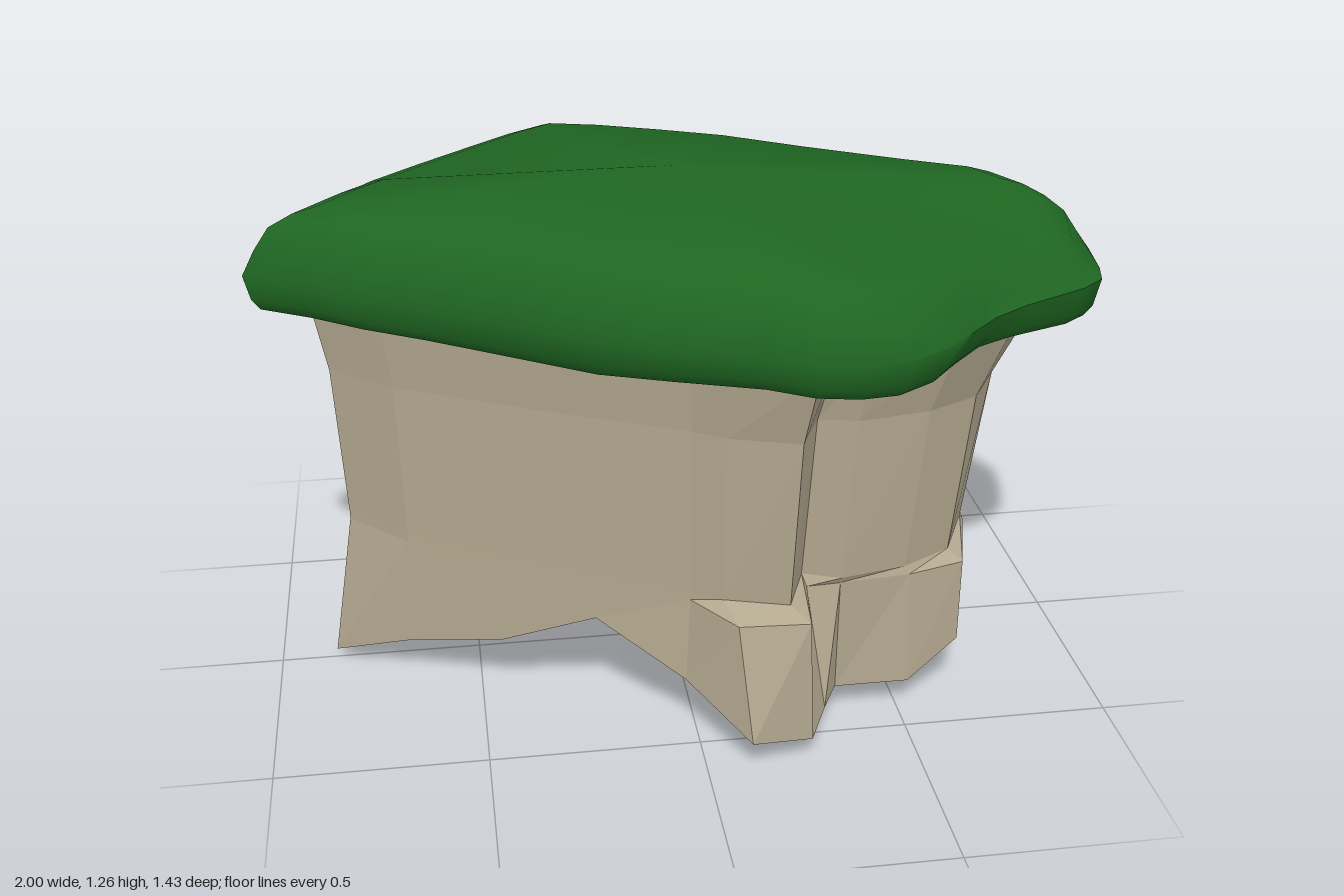
import * as THREE from 'three';
import { toCreasedNormals } from 'three/addons/utils/BufferGeometryUtils.js';

// Surface through closed rings listed bottom to top; optional centre points close the ends
function loft(rings, bottom, top) {
  const n = rings[0].length;
  const pts = rings.flat();
  const index = [];
  for (let r = 0; r < rings.length - 1; r++) {
    for (let i = 0; i < n; i++) {
      const a = r * n + i, b = r * n + (i + 1) % n;
      index.push(a, b, b + n, a, b + n, a + n);
    }
  }
  if (bottom) {
    const c = pts.push(bottom) - 1;
    for (let i = 0; i < n; i++) index.push(c, (i + 1) % n, i);
  }
  if (top) {
    const c = pts.push(top) - 1, o = (rings.length - 1) * n;
    for (let i = 0; i < n; i++) index.push(o + i, o + (i + 1) % n, c);
  }
  const g = new THREE.BufferGeometry();
  g.setAttribute('position', new THREE.Float32BufferAttribute(pts.flat(), 3));
  g.setIndex(index);
  g.computeVertexNormals();
  return g;
}

// Outline of the grass seen from above: x, z
const OUTLINE = [
  [-1, 0], [-0.88, 0.09], [-0.76, 0.18], [-0.62, 0.25], [-0.44, 0.36], [-0.24, 0.5],
  [-0.08, 0.58], [0.12, 0.66], [0.22, 0.71], [0.32, 0.71], [0.41, 0.69], [0.5, 0.64],
  [0.57, 0.57], [0.65, 0.49], [0.74, 0.43], [0.9, 0.35], [0.96, 0.3], [0.98, 0.23],
  [1, 0.1], [0.97, 0.03], [0.91, -0.09], [0.75, -0.18], [0.62, -0.26], [0.46, -0.36],
  [0.24, -0.51], [0.05, -0.6], [-0.14, -0.68], [-0.29, -0.72], [-0.39, -0.7], [-0.49, -0.66],
  [-0.66, -0.55], [-0.8, -0.37], [-0.82, -0.26], [-0.88, -0.16],
];

// Rock columns at the waist: x, z, outward flare under the grass
const WAIST = [
  [-0.80, 0.02, 0.07], [-0.66, 0.14, 0.05], [-0.45, 0.25, 0.06], [-0.23, 0.36, 0.07],
  [-0.02, 0.46, 0.07], [0.05, 0.5, 0.1], [0.2, 0.54, 0.16], [0.25, 0.42, 0.2],
  [0.34, 0.45, 0.14], [0.5, 0.42, 0.16], [0.62, 0.36, 0.16], [0.69, 0.22, 0.2],
  [0.69, 0.1, 0.2], [0.6, 0.02, 0.22], [0.66, -0.07, 0.18], [0.61, -0.19, 0.06],
  [0.45, -0.29, 0.06], [0.27, -0.38, 0.05], [0.08, -0.48, 0.05], [-0.1, -0.59, 0.04],
  [-0.25, -0.57, 0.06], [-0.38, -0.47, 0.13], [-0.5, -0.36, 0.13], [-0.5, -0.2, 0.13],
  [-0.66, -0.16, 0.12], [-0.77, -0.08, 0.07],
];

// Feet of the same columns: x, z, height, share of the foot offset reached at the
// ledge (negative where the ledge bulges out past both foot and waist)
const FEET = [
  [-0.86, 0.02, 0.035, 0], [-0.67, 0.14, 0.12, 0], [-0.45, 0.25, 0.17, 0], [-0.23, 0.36, 0.28, 0],
  [-0.03, 0.47, 0.16, 0], [0.1, 0.645, 0.085, 0.5], [0.25, 0.6, 0.055, 0.8], [0.3, 0.5, 0.07, 0.2],
  [0.34, 0.43, 0.08, 0.5], [0.52, 0.43, 0.08, 0.5], [0.65, 0.39, 0.165, 1], [0.71, 0.2, 0.105, 0.6],
  [0.72, 0.05, 0.075, 0.8], [0.7, -0.03, 0.075, 0.9], [0.7, -0.1, 0.075, 0.8],
  [0.72, -0.175, 0.075, 0.2], [0.52, -0.285, 0.055, 0.3], [0.32, -0.39, 0.04, 0.5],
  [0.1, -0.48, 0.06, 0.5], [-0.1, -0.565, 0.08, -4], [-0.2, -0.605, 0.09, 0.5],
  [-0.45, -0.47, 0, 0.6], [-0.58, -0.36, 0.005, 0.6], [-0.52, -0.16, 0.005, 0.5],
  [-0.74, -0.12, 0.03, 0.5], [-0.82, -0.04, 0.035, 0.3],
];

function makeGrass() {
  // Rolled rim: height, distance drawn in from the outline
  const profile = [[0.975, 0.16], [0.96, 0.07], [0.965, 0.035], [0.99, 0.015], [1.05, 0],
    [1.11, 0.025], [1.165, 0.055], [1.195, 0.1], [1.212, 0.15]];
  const rings = profile.map(([y, inset], r) => OUTLINE.map(([x, z], i) => {
    const radius = Math.hypot(x, z);
    // The two far corners roll over lower and more gently than the long sides
    const k = 1 - (r > 4 ? inset * radius / 0.8 : inset) / radius;
    const droop = r > 4 ? 0.25 * Math.max(0, Math.abs(x + z) - 1.03) : 0;
    const sag = r < 4 ? 0.008 * Math.sin(i * 1.1) : 0;
    return [x * k, y + sag - droop, z * k];
  }));
  const g = toCreasedNormals(loft(rings, [0, 0.98, 0], [0, 1.265, -0.02]), 0.9);
  return new THREE.Mesh(g, new THREE.MeshStandardMaterial({ color: 0x1f6622 }));
}

function makeRock() {
  // Ledge height rises towards the back
  const ledgeY = z => 0.43 - 0.08 * z;
  const foot = FEET.map(([x, z, y]) => [x, y, z]);
  const ledge = FEET.map(([x, z, , s], i) => {
    const [wx, wz] = WAIST[i];
    return [wx + (x - wx) * s, ledgeY(z) - 0.02, wz + (z - wz) * s];
  });
  const waist = WAIST.map(([x, z]) => [x, ledgeY(z), z]);
  // Upper walls lean out under the grass: height, share of the flare
  const upper = [[0.81, 0.35], [1.0, 1]].map(([y, s]) =>
    WAIST.map(([x, z, lip]) => [x * (1 + lip * s), y, z * (1 + lip * s)]));
  const g = loft([foot, ledge, waist, ...upper]).toNonIndexed();
  g.computeVertexNormals();
  return new THREE.Mesh(g, new THREE.MeshStandardMaterial({
    color: 0xb3a88f, flatShading: true, side: THREE.DoubleSide,
  }));
}

export function createModel() {
  const model = new THREE.Group();
  model.name = 'grassyCliff';
  const grass = makeGrass();
  grass.name = 'grassTop';
  const rock = makeRock();
  rock.name = 'rockCliff';
  model.add(grass, rock);
  return model;
}
